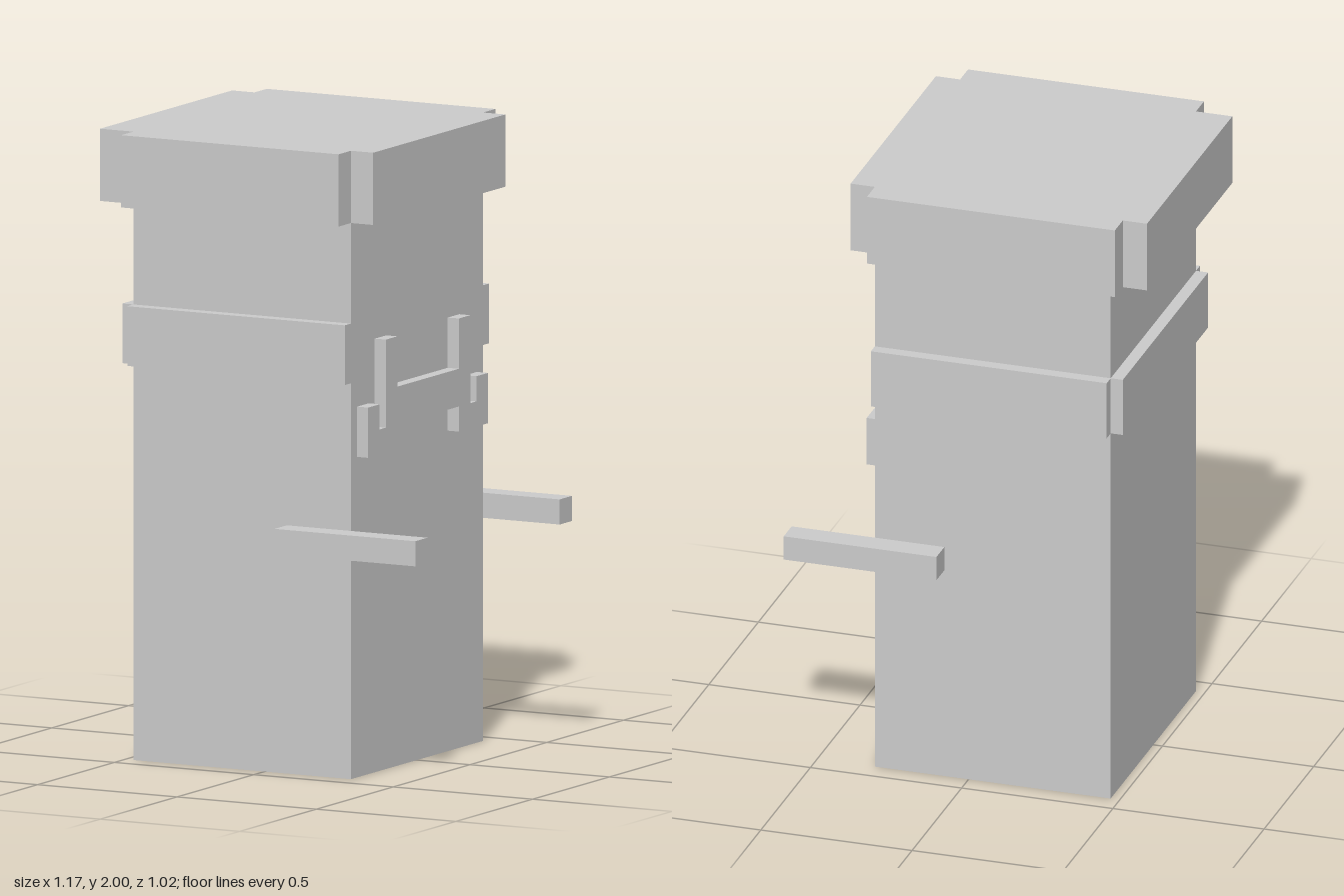
import * as THREE from 'three';

const material = new THREE.MeshStandardMaterial({ color: 0xcccccc, flatShading: true });

// Box given by its minimum and maximum along each axis
function block(name, [x0, x1], [y0, y1], [z0, z1]) {
  const mesh = new THREE.Mesh(new THREE.BoxGeometry(x1 - x0, y1 - y0, z1 - z0), material);
  mesh.position.set((x0 + x1) / 2, (y0 + y1) / 2, (z0 + z1) / 2);
  mesh.name = name;
  return mesh;
}

function named(name, ...children) {
  const group = new THREE.Group();
  group.name = name;
  group.add(...children);
  return group;
}

// Flat relief on the +x face, mirrored about z = 0
function faceRelief() {
  const half = [
    [0.2, 1.10], [0.2, 1.02], [0.39, 1.02], [0.39, 1.18], [0.315, 1.18],
    [0.315, 1.10], [0.275, 1.10], [0.275, 1.38], [0.2, 1.38], [0.2, 1.22],
  ];
  const mirrored = half.map(([z, y]) => [-z, y]).reverse();
  const shape = new THREE.Shape([...half, ...mirrored].map(([z, y]) => new THREE.Vector2(z, y)));
  const geometry = new THREE.ExtrudeGeometry(shape, { depth: 0.04, bevelEnabled: false });
  geometry.rotateY(-Math.PI / 2).translate(0.35, 0, 0);
  const mesh = new THREE.Mesh(geometry, material);
  mesh.name = 'faceRelief';
  return mesh;
}

export function createModel() {
  const model = new THREE.Group();
  model.name = 'blockFigure';

  // Main column
  model.add(block('body', [-0.47, 0.31], [0, 2], [-0.43, 0.43]));

  // Slabs around the top, leaving notched corners
  const capY = [1.77, 2];
  model.add(named('cap',
    block('capFront', [-0.47, 0.31], capY, [0.43, 0.51]),
    block('capBack', [-0.51, 0.31], capY, [-0.51, -0.43]),
    block('capRight', [-0.59, -0.47], capY, [-0.43, 0.43]),
    block('capLeft', [0.31, 0.39], capY, [-0.43, 0.43])));

  // Thin strap on three sides
  const bandY = [1.26, 1.45];
  model.add(named('headband',
    block('bandFront', [-0.47, 0.31], bandY, [0.43, 0.47]),
    block('bandBack', [-0.47, 0.31], bandY, [-0.47, -0.43]),
    block('bandRight', [-0.51, -0.47], bandY, [-0.43, 0.43])));

  model.add(faceRelief());

  // Arms reaching toward +x
  model.add(block('frontArm', [0.08, 0.585], [0.71, 0.79], [0.43, 0.51]));
  model.add(block('backArm', [0.08, 0.585], [0.71, 0.79], [-0.51, -0.43]));

  return model;
}
